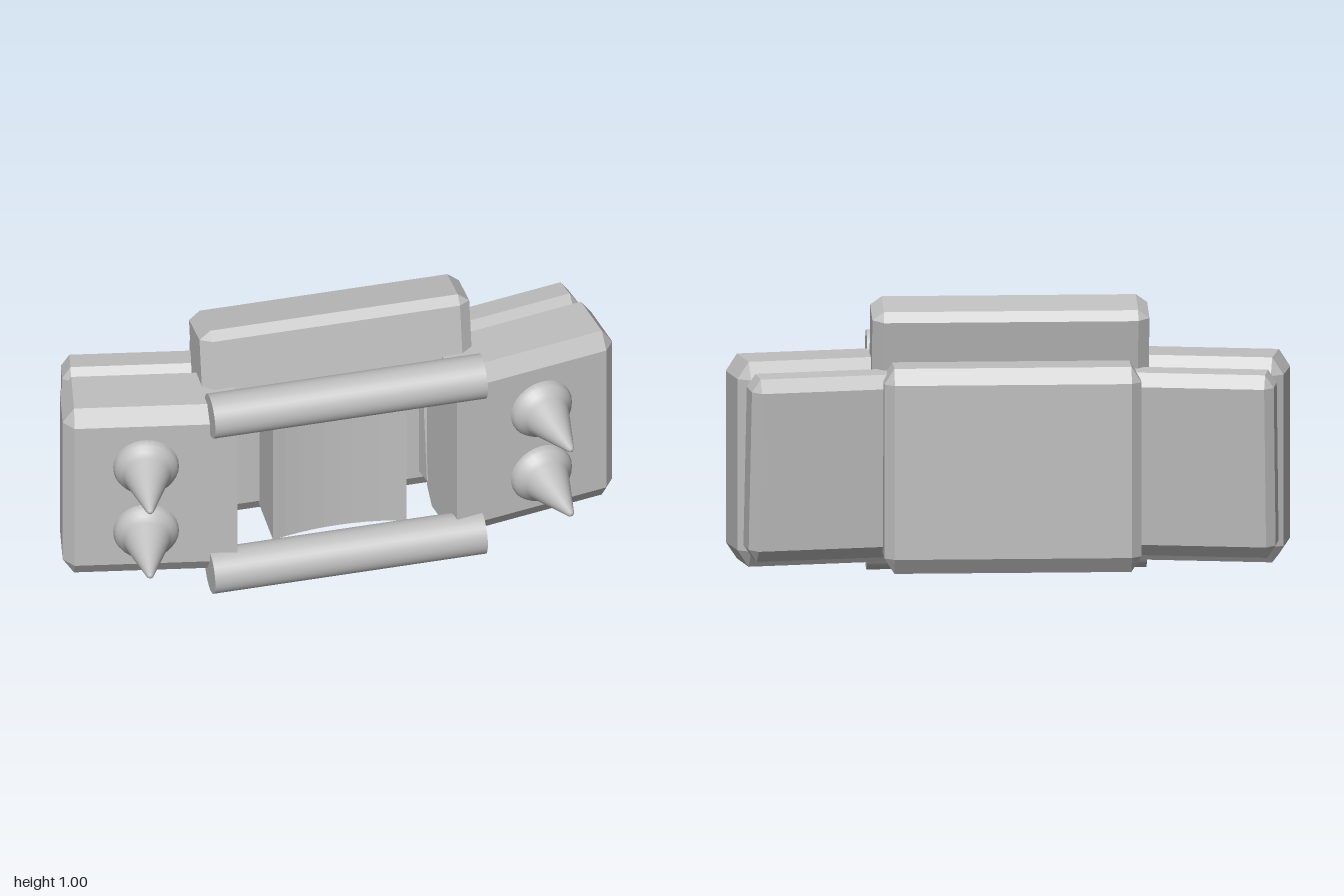
import * as THREE from 'three';
import { ConvexGeometry } from 'three/addons/geometries/ConvexGeometry.js';

const TOE = 0.18; // how far the side parts are swept back

// Box with chamfered edges; the end at x direction `plainEnd` stays unchamfered.
function chamferBox(w, h, d, cx, cy, cz, plainEnd = 0) {
  const pts = [];
  for (const sx of [-1, 1]) for (const sy of [-1, 1]) for (const sz of [-1, 1]) {
    const add = (x, y, z) => pts.push(new THREE.Vector3(sx * x, sy * y, sz * z));
    const X = w / 2, Y = h / 2, Z = d / 2;
    const c = sx === plainEnd ? 0 : cx;
    if (c > 0) add(X, Y - cy, Z - cz);
    add(X - c, Y, Z - cz);
    add(X - c, Y - cy, Z);
  }
  return new ConvexGeometry(pts);
}

export function createModel() {
  const grey = new THREE.MeshStandardMaterial({ color: 0xbfbfbf });
  grey.name = 'plain grey';

  const model = new THREE.Group();
  model.name = 'spikedHarness';
  const add = (name, geometry, x, y, z, rx = 0, ry = 0) => {
    const mesh = new THREE.Mesh(geometry, grey);
    mesh.name = name;
    mesh.position.set(x, y, z);
    mesh.rotation.set(rx, ry, 0, 'YXZ');
    model.add(mesh);
    return mesh;
  };

  // Large back plate and the leaning block on top
  add('backPlate', chamferBox(0.9, 0.727, 0.21, 0.035, 0.055, 0.035), 0, 0.4265, -0.26);
  add('topBlock', chamferBox(0.97, 0.28, 0.22, 0.04, 0.03, 0.03), 0, 0.846, -0.09, -0.19);

  // Core with a slightly hollow front
  const section = new THREE.Shape();
  section.moveTo(-0.24, 0.18);
  section.lineTo(-0.24, -0.05);
  section.quadraticCurveTo(0, 0.01, 0.24, -0.05);
  section.lineTo(0.24, 0.18);
  const core = new THREE.ExtrudeGeometry(section, { depth: 0.66, bevelEnabled: false, curveSegments: 10 });
  core.rotateX(-Math.PI / 2);
  add('core', core, 0, 0.1, 0);

  // Front bars
  for (const [name, y] of [['lowerBar', 0.08], ['upperBar', 0.768]]) {
    const bar = new THREE.CylinderGeometry(0.08, 0.08, 0.98, 32);
    bar.rotateZ(Math.PI / 2);
    add(name, bar, 0, y, 0.147);
  }

  // Spike with a flared foot, pointing forward
  const spike = new THREE.LatheGeometry([
    [0.115, -0.03], [0.115, 0.008], [0.107, 0.025], [0.093, 0.042],
    [0.08, 0.062], [0.013, 0.258], [0.008, 0.265], [0, 0.266],
  ].map(([r, y]) => new THREE.Vector2(r, y)), 32);
  spike.rotateX(Math.PI / 2);

  // Swept side wings, rear pods and spikes
  for (const [side, s] of [['left', 1], ['right', -1]]) {
    add(side + 'Wing', chamferBox(0.61, 0.727, 0.26, 0.04, 0.06, 0.04, -s),
      s * 0.672, 0.4265, -0.02, 0, s * TOE);
    add(side + 'RearPod', chamferBox(0.6, 0.66, 0.14, 0.03, 0.045, 0.03),
      s * 0.63, 0.43, -0.207, -0.09, s * TOE);
    add(side + 'UpperSpike', spike, s * 0.71, 0.555, 0.104, 0, s * TOE);
    add(side + 'LowerSpike', spike, s * 0.71, 0.27, 0.104, 0, s * TOE);
  }
  return model;
}
